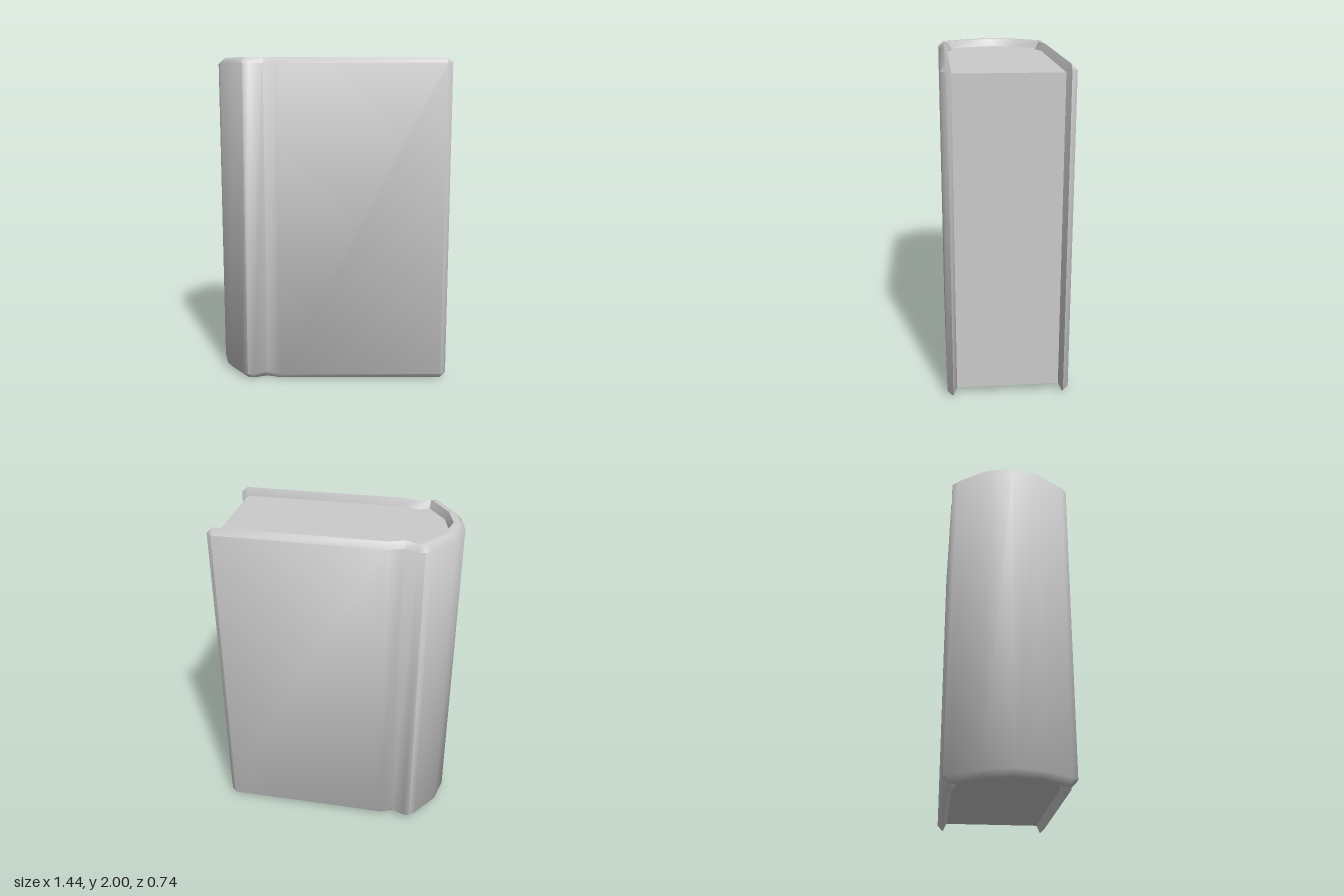
import * as THREE from 'three';
import { toCreasedNormals } from 'three/addons/utils/BufferGeometryUtils.js';

const H = 2, BEVEL = 0.035, PAGE_INSET = 0.048;

// Half plan of the cover, fore edge to spine: outer wall, bevel top, inner rim, page edge (x, z each)
const HALF = [
  [[0.672, 0.31], [0.672, 0.31], [0.672, 0.31], [0.672, 0.31]],
  [[0.72, 0.334], [0.685, 0.334], [0.685, 0.334], [0.672, 0.31]],
  [[0.685, 0.369], [0.685, 0.334], [0.685, 0.334], [0.672, 0.31]],
  [[-0.32, 0.369], [-0.325, 0.334], [-0.325, 0.334], [-0.325, 0.31]],
  [[-0.41, 0.337], [-0.41, 0.303], [-0.41, 0.303], [-0.41, 0.279]],
  [[-0.49, 0.369], [-0.49, 0.334], [-0.49, 0.334], [-0.484, 0.31]],
  [[-0.53, 0.369], [-0.52, 0.334], [-0.49, 0.334], [-0.484, 0.31]],
  [[-0.565, 0.334], [-0.538, 0.316], [-0.495, 0.328], [-0.488, 0.306]],
  [[-0.682, 0.167], [-0.649, 0.157], [-0.61, 0.163], [-0.59, 0.156]],
  [[-0.72, 0], [-0.685, 0], [-0.65, 0], [-0.627, 0]],
];

const mirrorZ = (station) => station.map(([x, z]) => [x, -z]);

// Cross-section of the cover at one station, from lower page edge around the outside to the upper one
function section([outer, bevel, rim, page], isEnd) {
  const yRim = isEnd ? PAGE_INSET : 0;
  const yBevel = isEnd ? PAGE_INSET : BEVEL;
  const lower = [[page, PAGE_INSET], [rim, yRim], [bevel, yRim], [outer, yBevel]];
  const upper = lower.map(([p, y]) => [p, H - y]).reverse();
  return [...lower, ...upper].map(([p, y]) => new THREE.Vector3(p[0], y, p[1]));
}

// Skin between neighbouring sections, leaving out collapsed triangles
function loft(rings) {
  const pos = [];
  const tri = (a, b, c) => {
    const area = b.clone().sub(a).cross(c.clone().sub(a)).length();
    if (area > 1e-7) for (const v of [a, b, c]) pos.push(v.x, v.y, v.z);
  };
  for (let i = 0; i < rings.length - 1; i++) {
    for (let s = 0; s < rings[i].length - 1; s++) {
      const a = rings[i][s], b = rings[i][s + 1];
      const c = rings[i + 1][s + 1], d = rings[i + 1][s];
      tri(a, b, d);
      tri(b, c, d);
    }
  }
  const g = new THREE.BufferGeometry();
  g.setAttribute('position', new THREE.Float32BufferAttribute(pos, 3));
  return toCreasedNormals(g, 0.9);
}

export function createModel() {
  const group = new THREE.Group();
  group.name = 'book';
  const material = new THREE.MeshStandardMaterial({ color: 0xcccccc });
  const add = (name, geometry) => {
    const mesh = new THREE.Mesh(geometry, material);
    mesh.name = name;
    group.add(mesh);
  };

  // Cover: both boards, hinge grooves and rounded spine in one sweep
  const plan = [...HALF, ...HALF.slice(0, -1).reverse().map(mirrorZ)];
  add('cover', loft(plan.map((st, i) => section(st, i === 0 || i === plan.length - 1))));

  // Page block filling the cover
  const outline = [];
  for (const st of plan) {
    const p = new THREE.Vector2(st[3][0], -st[3][1]);
    if (!outline.length || p.distanceTo(outline[outline.length - 1]) > 1e-4) outline.push(p);
  }
  const pages = new THREE.ExtrudeGeometry(new THREE.Shape(outline), {
    depth: H - 2 * PAGE_INSET, bevelEnabled: false,
  });
  pages.rotateX(-Math.PI / 2).translate(0, PAGE_INSET, 0);
  add('pages', pages);

  return group;
}
